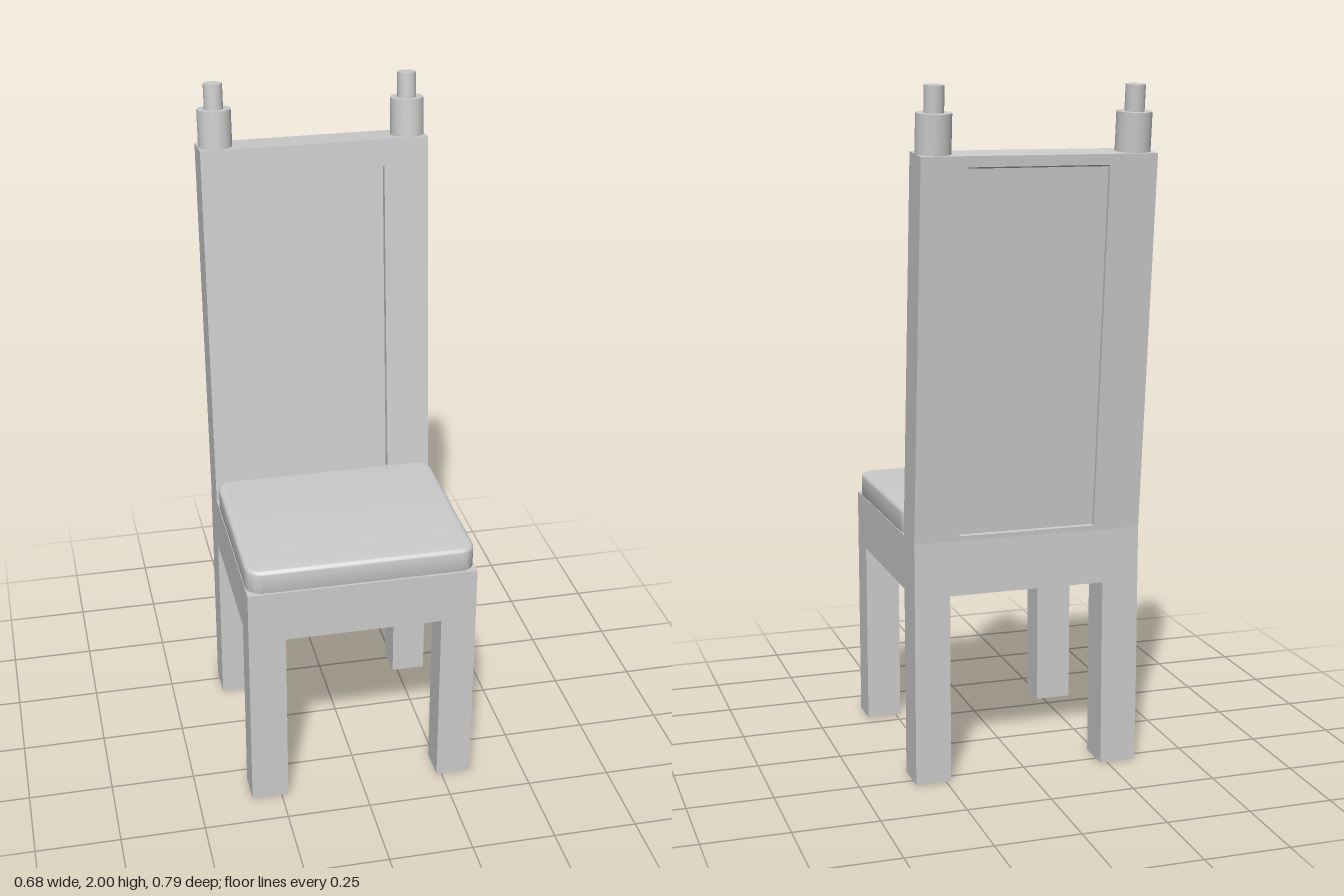
import * as THREE from 'three';
import { toCreasedNormals } from 'three/addons/utils/BufferGeometryUtils.js';

const W = 0.34;
const SLOPE = 0.0945; // backward lean of the backrest
const frontZ = (y) => -0.175 - SLOPE * (y - 0.75);
const backZ = (y) => -0.287 - SLOPE * (y - 0.72);

export function createModel() {
  const chair = new THREE.Group();
  chair.name = 'chair';
  const grey = new THREE.MeshStandardMaterial({ color: 0xcccccc });
  grey.name = 'light grey';

  const add = (name, geometry, parent = chair) => {
    const mesh = new THREE.Mesh(geometry, grey);
    mesh.name = name;
    parent.add(mesh);
    return mesh;
  };

  const box = (name, x0, x1, y0, y1, z0, z1) =>
    add(name, new THREE.BoxGeometry(x1 - x0, y1 - y0, z1 - z0))
      .position.set((x0 + x1) / 2, (y0 + y1) / 2, (z0 + z1) / 2);

  // Side profile of [z, y] points, extruded across the width from x0 to x1
  const slab = (name, x0, x1, points) => {
    const shape = new THREE.Shape(points.map(([z, y]) => new THREE.Vector2(-z, y)));
    const geometry = new THREE.ExtrudeGeometry(shape, { depth: x1 - x0, bevelEnabled: false });
    geometry.rotateY(Math.PI / 2);
    geometry.translate(x0, 0, 0);
    add(name, geometry);
  };

  // Legs and seat block
  for (const [side, x0, x1] of [['right', -W, -0.23], ['left', 0.235, W]]) {
    box(side + 'FrontLeg', x0, x1, 0, 0.56, 0.295, 0.395);
    box(side + 'BackLeg', x0, x1, 0, 0.56, -0.287, -0.175);
  }
  box('seatFrame', -W, W, 0.56, 0.72, -0.287, 0.395);

  // Cushion with rounded corners and a soft rim
  const b = 0.012, r = 0.035;
  const hx = W - 0.002 - b, hz = 0.281 - b;
  const outline = new THREE.Shape();
  outline.absarc(hx - r, hz - r, r, 0, Math.PI / 2);
  outline.absarc(-hx + r, hz - r, r, Math.PI / 2, Math.PI);
  outline.absarc(-hx + r, -hz + r, r, Math.PI, Math.PI * 1.5);
  outline.absarc(hx - r, -hz + r, r, Math.PI * 1.5, Math.PI * 2);
  const cushion = new THREE.ExtrudeGeometry(outline, {
    depth: 0.07, bevelThickness: b, bevelSize: b, bevelSegments: 4, curveSegments: 8,
  });
  cushion.rotateX(-Math.PI / 2);
  cushion.translate(0, 0.79 - 0.07 - b, 0.107);
  add('cushion', toCreasedNormals(cushion, 0.7));

  // Leaning backrest: stiles, rails and a panel recessed on both faces
  const stile = [
    [-0.175, 0.72], [frontZ(0.75), 0.75], [frontZ(1.82), 1.82],
    [backZ(1.81), 1.81], [-0.287, 0.72],
  ];
  slab('rightStile', -W, -0.2, stile);
  slab('leftStile', 0.207, W, stile);
  slab('topRail', -0.2, 0.207, [
    [frontZ(1.74), 1.74], [frontZ(1.82), 1.82], [backZ(1.81), 1.81], [backZ(1.78), 1.78],
  ]);
  slab('bottomRail', -0.2, 0.207, [
    [-0.175, 0.72], [frontZ(0.75), 0.75], [backZ(0.735), 0.735], [-0.287, 0.72],
  ]);
  slab('backPanel', -0.2, 0.207, [
    [frontZ(0.73) - 0.022, 0.73], [frontZ(1.77) - 0.022, 1.77],
    [backZ(1.79) + 0.012, 1.79], [backZ(0.73) + 0.012, 0.73],
  ]);

  // Stepped finials on the back posts, following the lean
  for (const [side, x] of [['right', -0.287], ['left', 0.29]]) {
    const finial = new THREE.Group();
    finial.name = side + 'Finial';
    finial.position.set(x, 1.81, -0.332);
    finial.rotation.x = -Math.atan(SLOPE);
    add('finialBase', new THREE.CylinderGeometry(0.05, 0.05, 0.117, 32), finial).position.y = 0.0565;
    add('finialTip', new THREE.CylinderGeometry(0.028, 0.028, 0.08, 32), finial).position.y = 0.149;
    chair.add(finial);
  }
  return chair;
}
